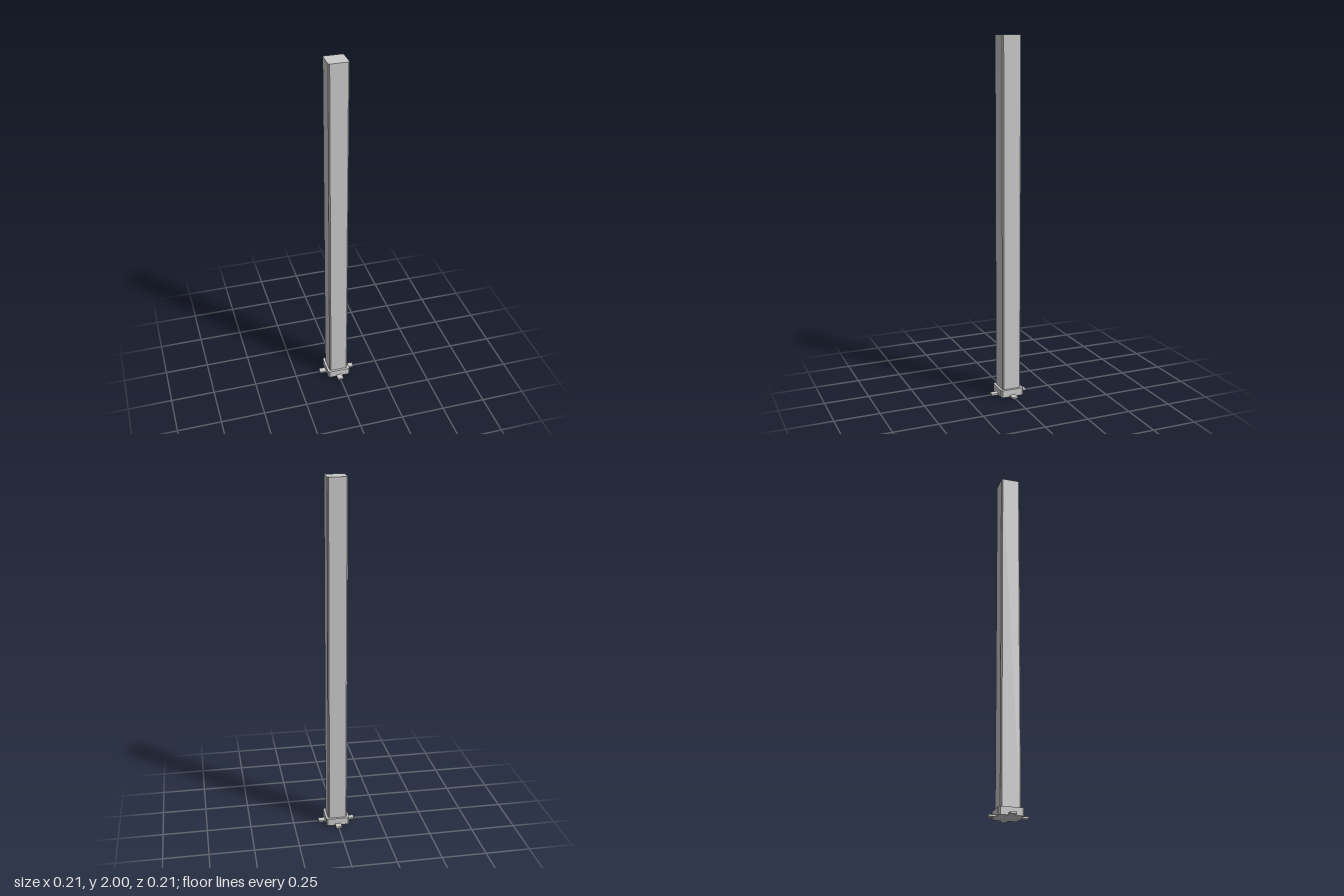
import * as THREE from 'three';

const material = new THREE.MeshStandardMaterial({ color: 0xcccccc, flatShading: true });

// Upright square prism with chamfered vertical edges, spanning y0 to y1
function chamferedPrism(name, half, chamfer, y0, y1) {
  const inner = half - chamfer;
  const shape = new THREE.Shape([
    [half, -inner], [half, inner], [inner, half], [-inner, half],
    [-half, inner], [-half, -inner], [-inner, -half], [inner, -half],
  ].map(([x, y]) => new THREE.Vector2(x, y)));
  const geometry = new THREE.ExtrudeGeometry(shape, { depth: y1 - y0, bevelEnabled: false });
  geometry.rotateX(-Math.PI / 2).translate(0, y0, 0);
  const mesh = new THREE.Mesh(geometry, material);
  mesh.name = name;
  return mesh;
}

export function createModel() {
  const model = new THREE.Group();
  model.name = 'post';

  // Tall shaft standing in a wider base collar
  const collarTop = 0.042;
  model.add(chamferedPrism('shaft', 0.0545, 0.007, collarTop, 2));
  model.add(chamferedPrism('baseCollar', 0.067, 0.009, 0, collarTop));

  // Four flat mounting tabs, one on each side of the collar
  const inner = 0.066, outer = 0.1045, thickness = 0.01;
  const tabGeometry = new THREE.BoxGeometry(outer - inner, thickness, 0.034);
  tabGeometry.translate((inner + outer) / 2, thickness / 2, 0);
  ['leftTab', 'backTab', 'rightTab', 'frontTab'].forEach((name, i) => {
    const tab = new THREE.Mesh(tabGeometry, material);
    tab.name = name;
    tab.rotation.y = i * Math.PI / 2;
    model.add(tab);
  });

  return model;
}
